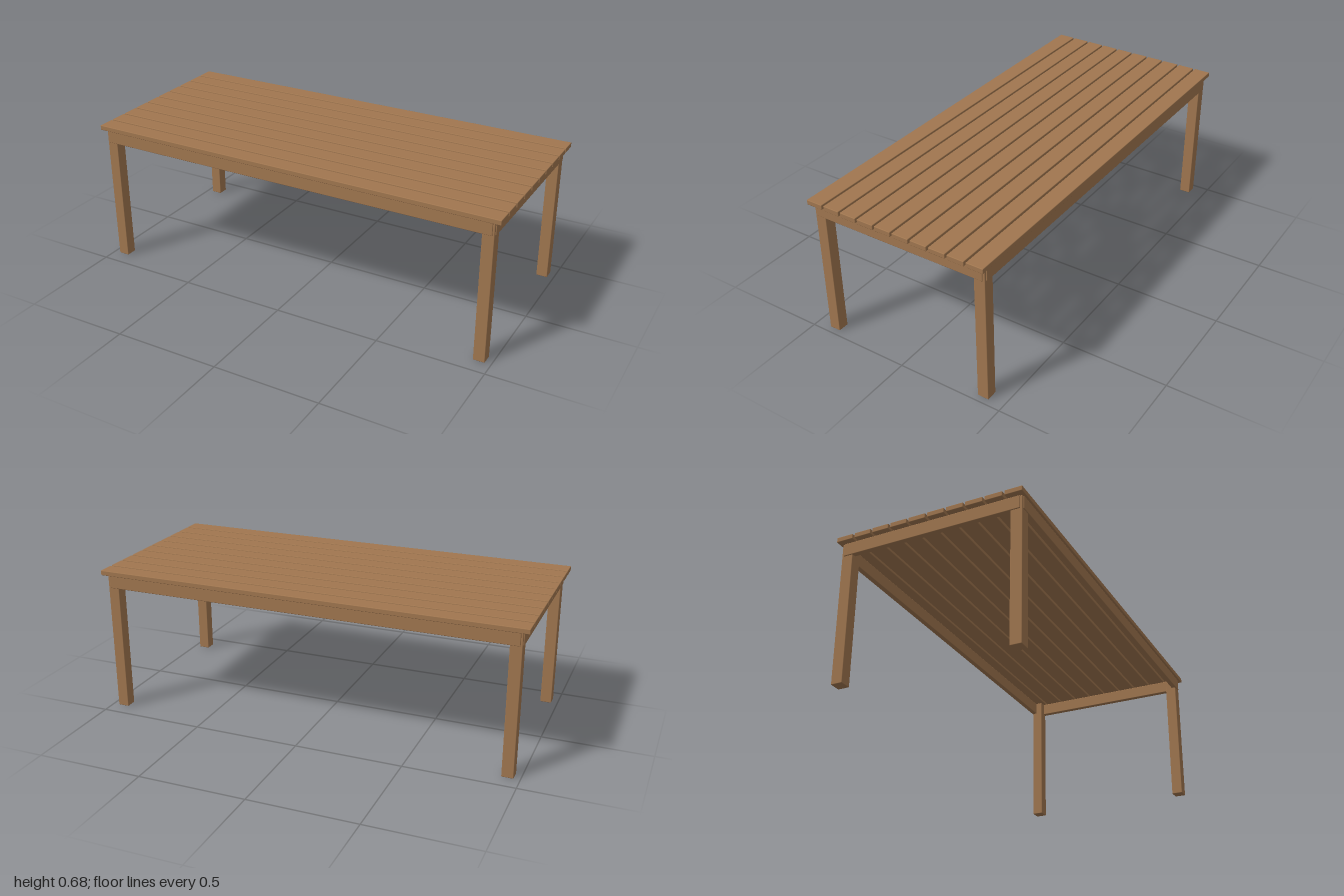
import * as THREE from 'three';
import { RoundedBoxGeometry } from 'three/addons/geometries/RoundedBoxGeometry.js';

export function createModel() {
  const table = new THREE.Group();
  table.name = 'slattedTable';

  const wood = new THREE.MeshStandardMaterial({ color: 0xa0764f });
  wood.name = 'wood';

  // A timber piece with slightly eased edges, given by its extents
  function timber(name, [x0, x1], [y0, y1], [z0, z1]) {
    const geometry = new RoundedBoxGeometry(x1 - x0, y1 - y0, z1 - z0, 2, 0.003);
    const mesh = new THREE.Mesh(geometry, wood);
    mesh.name = name;
    mesh.position.set((x0 + x1) / 2, (y0 + y1) / 2, (z0 + z1) / 2);
    table.add(mesh);
  }

  // Mirror a range to the negative side when s is -1
  const side = (s, a, b) => (s > 0 ? [a, b] : [-b, -a]);

  // Table top: ten long slats with narrow gaps
  const slats = 10, slatWidth = 0.08, halfDepth = 0.441;
  const pitch = (2 * halfDepth - slatWidth) / (slats - 1);
  for (let i = 0; i < slats; i++) {
    const z = -halfDepth + i * pitch;
    timber(`topSlat${i + 1}`, [-1, 1], [0.66, 0.683], [z, z + slatWidth]);
  }

  // Aprons: long rails front and back, short rails at the ends
  for (const s of [1, -1]) {
    timber(s > 0 ? 'frontApron' : 'backApron', [-0.962, 0.962], [0.6, 0.66], side(s, 0.407, 0.432));
    timber(s > 0 ? 'leftApron' : 'rightApron', side(s, 0.95, 0.975), [0.6, 0.66], [-0.418, 0.418]);
  }

  // Four square legs running up inside the apron corners
  for (const sx of [1, -1]) {
    for (const sz of [1, -1]) {
      const name = (sz > 0 ? 'front' : 'back') + (sx > 0 ? 'Left' : 'Right') + 'Leg';
      timber(name, side(sx, 0.918, 0.971), [0, 0.66], side(sz, 0.375, 0.428));
    }
  }

  return table;
}
